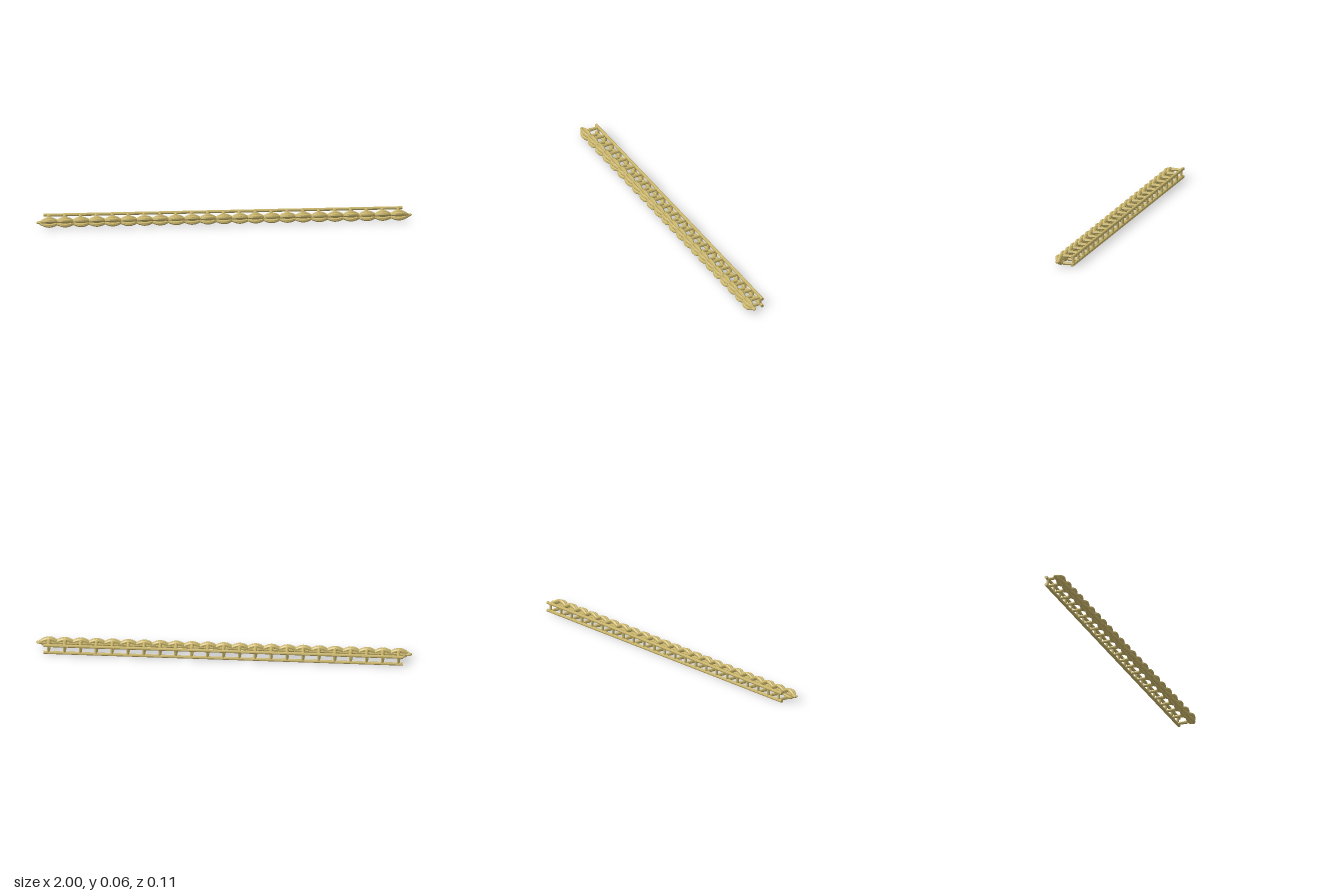
import * as THREE from 'three';

const COUNT = 23, PITCH = 0.0845, MID = 0.03;

export function createModel() {
  const group = new THREE.Group();
  const mat = new THREE.MeshStandardMaterial({ color: 0xc8b46a, flatShading: true });
  const add = (geo, name, parent) => {
    const m = new THREE.Mesh(geo, mat);
    m.name = name;
    parent.add(m);
    return m;
  };

  // Strand that bows away from the centre line and returns, thinner at its ends
  const strand = (dy, dz, r, half) => {
    const pts = [];
    for (let i = 0; i <= 8; i++) {
      const t = i / 8, s = Math.sin(Math.PI * t);
      pts.push(new THREE.Vector3((t * 2 - 1) * half, MID + dy * s, 0.022 + dz * s));
    }
    const curve = new THREE.CatmullRomCurve3(pts);
    const geo = new THREE.TubeGeometry(curve, 10, r, 7);
    const p = geo.attributes.position, c = new THREE.Vector3(), v = new THREE.Vector3();
    for (let i = 0; i < p.count; i++) {
      const t = Math.floor(i / 8) / 10;
      curve.getPointAt(t, c);
      v.fromBufferAttribute(p, i).sub(c).multiplyScalar(0.55 + 0.45 * Math.sin(Math.PI * t)).add(c);
      p.setXYZ(i, v.x, v.y, v.z);
    }
    return geo;
  };
  const frontUp = strand(0.013, 0.021, 0.0105, 0.058);
  const frontLow = strand(-0.013, 0.021, 0.0105, 0.058);
  const sideUp = strand(0.019, 0.002, 0.011, 0.05);
  const sideLow = strand(-0.019, 0.002, 0.011, 0.05);

  // Tapered post running back to a rail, and the upright between rails
  const post = new THREE.CylinderGeometry(0.01, 0.007, 0.056, 8).rotateX(Math.PI / 2);
  const upright = new THREE.CylinderGeometry(0.007, 0.007, 0.042, 8);

  for (let i = 0; i < COUNT; i++) {
    const unit = new THREE.Group();
    unit.name = 'braidUnit';
    unit.position.x = (i - (COUNT - 1) / 2) * PITCH;
    add(frontUp, 'frontStrandUpper', unit);
    add(frontLow, 'frontStrandLower', unit);
    add(sideUp, 'sideStrandUpper', unit);
    add(sideLow, 'sideStrandLower', unit);
    add(post, 'postUpper', unit).position.set(0, 0.05, -0.018);
    add(post, 'postLower', unit).position.set(0, 0.01, -0.018);
    add(upright, 'upright', unit).position.set(0, MID, -0.044);
    group.add(unit);
  }

  // Straight rails along the back
  const rail = new THREE.CylinderGeometry(0.0085, 0.0085, 1.91, 8).rotateZ(Math.PI / 2);
  add(rail, 'railUpper', group).position.set(0, 0.0515, -0.045);
  add(rail, 'railLower', group).position.set(0, 0.0085, -0.045);

  // Core cord and its tapered end tips
  add(new THREE.CylinderGeometry(0.008, 0.008, 1.94, 8).rotateZ(Math.PI / 2), 'core', group).position.set(0, MID, 0.022);
  const tip = new THREE.SphereGeometry(0.011, 8, 6).scale(1.6, 0.75, 1.1);
  for (const s of [-1, 1]) add(tip, 'endTip', group).position.set(s * 0.9824, MID, 0.022);

  return group;
}
